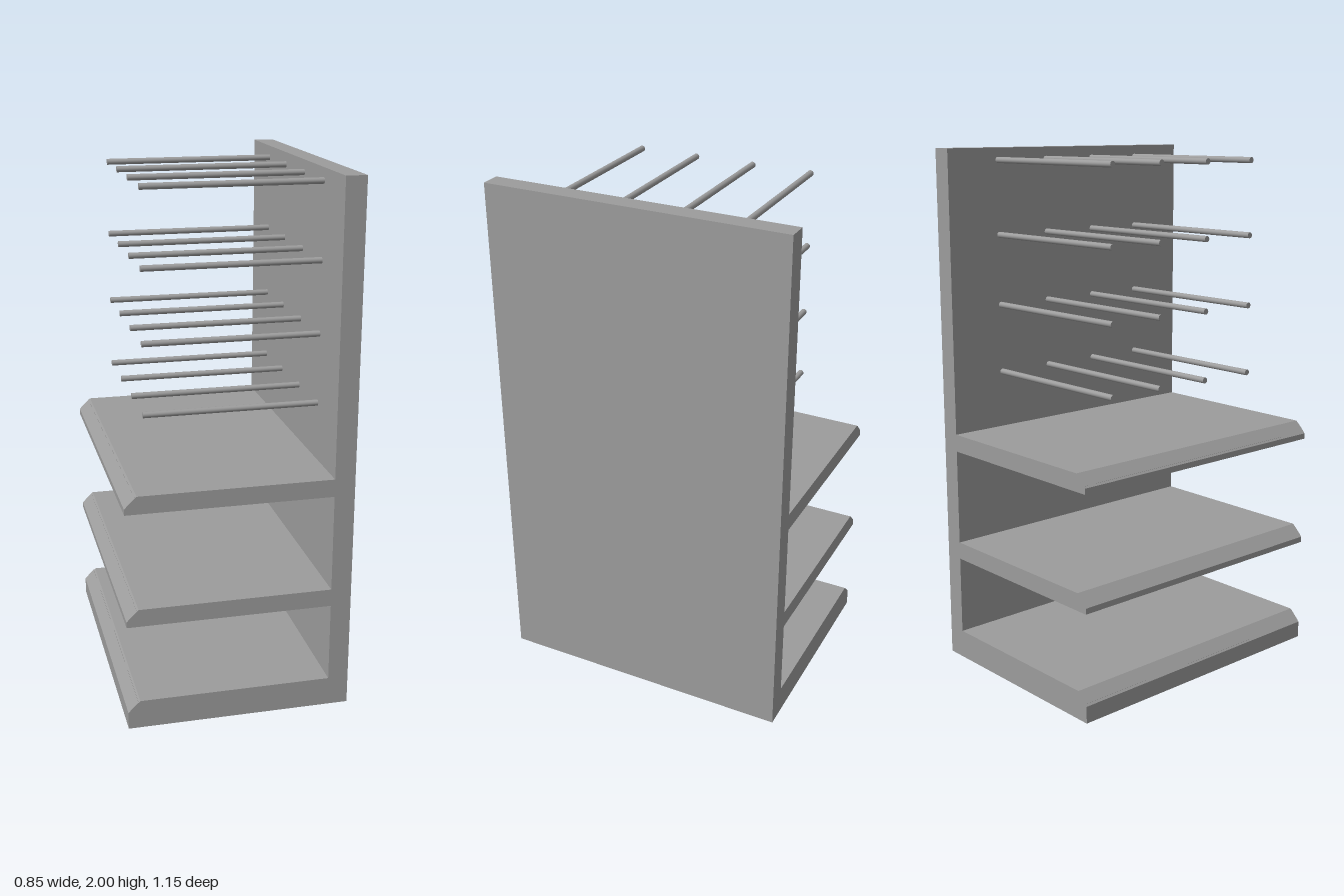
import * as THREE from 'three';

const DEPTH = 1.154;      // extent along z
const FRONT = -0.423;     // free edge of the shelves
const WALL = 0.346;       // inner face of the back panel
const OUTER = 0.423;      // outer face of the back panel
const BEVEL = 0.045;      // width and height of the bevelled shelf edge

export function createModel() {
  const group = new THREE.Group();
  const flat = new THREE.MeshStandardMaterial({ color: 0x9c9c9c, flatShading: true });
  const smooth = new THREE.MeshStandardMaterial({ color: 0x9c9c9c });

  const add = (name, geometry, material, x, y, z) => {
    const mesh = new THREE.Mesh(geometry, material);
    mesh.name = name;
    mesh.position.set(x, y, z);
    group.add(mesh);
    return mesh;
  };

  // upright back panel
  add('backPanel', new THREE.BoxGeometry(OUTER - WALL, 2, DEPTH), flat, (WALL + OUTER) / 2, 1, 0);

  // shelves with a bevelled free edge: [name, bottom, top]
  const shelves = [['baseShelf', 0, 0.11], ['middleShelf', 0.415, 0.482], ['topShelf', 0.852, 0.919]];
  const strip = new THREE.BoxGeometry(0.046, 0.002, DEPTH);
  for (const [name, bottom, top] of shelves) {
    const profile = new THREE.Shape([
      new THREE.Vector2(FRONT, bottom),
      new THREE.Vector2(WALL, bottom),
      new THREE.Vector2(WALL, top),
      new THREE.Vector2(FRONT + BEVEL, top),
      new THREE.Vector2(FRONT, top - BEVEL),
    ]);
    const geometry = new THREE.ExtrudeGeometry(profile, { depth: DEPTH, bevelEnabled: false });
    add(name, geometry, flat, 0, 0, -DEPTH / 2);

    // thin label strip lying on the bevel
    add('labelStrip', strip, flat, FRONT + BEVEL / 2, top - BEVEL / 2, 0).rotation.z = Math.PI / 4;
  }

  // four rows of four hanging pegs
  const tip = -0.312;
  const peg = new THREE.CylinderGeometry(0.0115, 0.0115, WALL - tip, 16).rotateZ(Math.PI / 2);
  for (const y of [1.138, 1.402, 1.672, 1.954]) {
    for (const z of [-0.349, -0.118, 0.115, 0.348]) {
      add('peg', peg, smooth, (WALL + tip) / 2, y, z);
    }
  }

  return group;
}
